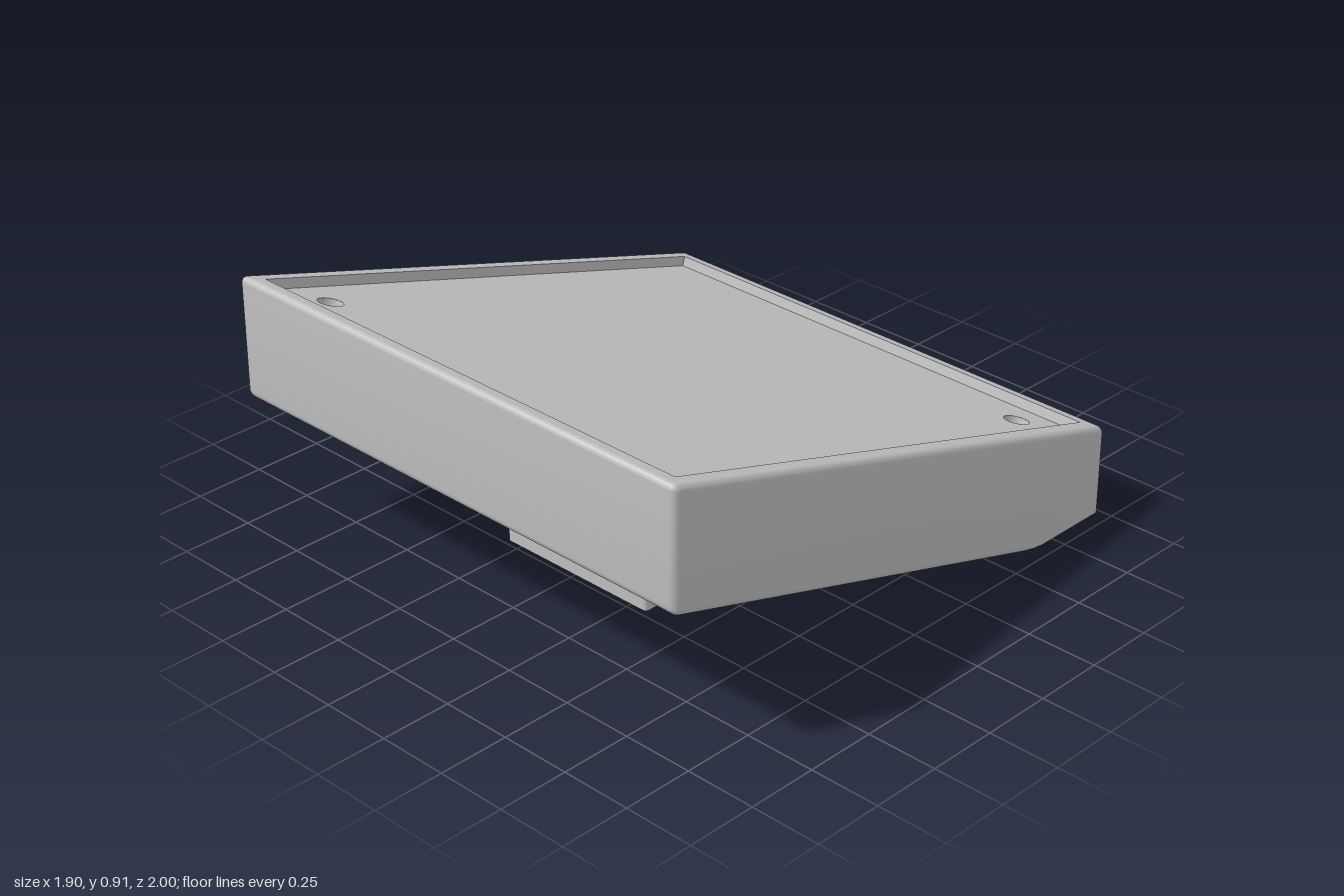
import * as THREE from 'three';
import { toCreasedNormals } from 'three/addons/utils/BufferGeometryUtils.js';

const SLOPE = 0.303, TILT = Math.atan(SLOPE);
const HX = 0.95, HZ = 1, R = 0.025, STEPS = 8;
const RIM = 0.06, DEPTH = 0.035;          // tray rim width and recess depth
const under = z => 0.19 + SLOPE * z;      // sloping underside
const over = z => 0.618 + SLOPE * z;      // sloping top

// Rounded rectangle in plan, mirrored in x; height(z) lifts every point
function ring(hx, hz, r, height, cz = 0) {
  const half = [];
  const arc = (z, from) => {
    for (let i = 0; i <= STEPS; i++) {
      const a = from + (i / STEPS) * Math.PI / 2;
      half.push([hx - r + r * Math.cos(a), z + r * Math.sin(a)]);
    }
  };
  arc(-hz + r, -Math.PI / 2);
  // extra points where the sloping underside meets the ground
  for (const z of [-0.693, -0.66, -0.627]) half.push([hx, Math.max(z - cz, -hz + r)]);
  arc(hz - r, 0);
  const all = [...half, ...half.map(([x, z]) => [-x, z]).reverse()];
  return all.map(([x, z]) => [x, height(z + cz), z + cz]);
}

// Skin over a stack of rings, closed underneath
function loft(rings) {
  const n = rings[0].length, index = [];
  for (let k = 0; k < rings.length - 1; k++) {
    for (let i = 0; i < n; i++) {
      const j = (i + 1) % n, a = k * n, b = a + n;
      index.push(a + i, b + i, b + j, a + i, b + j, a + j);
    }
  }
  for (let i = 0; i < n / 2 - 1; i++) {
    index.push(i, i + 1, n - 2 - i, i, n - 2 - i, n - 1 - i);
  }
  const g = new THREE.BufferGeometry();
  g.setAttribute('position', new THREE.Float32BufferAttribute(rings.flat(2), 3));
  g.setIndex(index);
  return toCreasedNormals(g, 0.28);
}

export function createModel() {
  const model = new THREE.Group();
  model.name = 'slopedStand';
  const grey = new THREE.MeshStandardMaterial({ color: 0xc0c0c0, side: THREE.DoubleSide });
  grey.name = 'light grey';
  const add = (parent, name, geometry) => {
    const mesh = new THREE.Mesh(geometry, grey);
    mesh.name = name;
    parent.add(mesh);
    return mesh;
  };

  // Body: rounded lower edge cut flat at the ground, rounded top edge, recess wall
  const rings = [];
  const inset = (d, height) => rings.push(ring(HX - d, HZ - d, Math.max(R - d, 0.001), height));
  for (let i = 0; i <= STEPS; i++) {
    const a = (i / STEPS) * Math.PI / 2;
    inset(R * (1 - Math.sin(a)), z => Math.max(0, under(z) + R * (1 - Math.cos(a))));
  }
  for (let i = 0; i <= STEPS; i++) {
    const a = (i / STEPS) * Math.PI / 2;
    inset(R * (1 - Math.cos(a)), z => over(z) - R * (1 - Math.sin(a)));
  }
  inset(RIM, over);
  const dy = DEPTH * Math.cos(TILT), dz = DEPTH * Math.sin(TILT);
  rings.push(rings[rings.length - 1].map(([x, y, z]) => [x, y - dy, z + dz]));
  add(model, 'body', loft(rings));

  // Recessed tray floor with two blind holes, in the tilted plane
  const tray = new THREE.Group();
  tray.name = 'tray';
  tray.position.set(0, over(0) - dy, dz);
  tray.rotation.x = -TILT;
  model.add(tray);
  const w = HX - RIM, l = (HZ - RIM) / Math.cos(TILT);
  const floor = new THREE.Shape([[-w, -l], [w, -l], [w, l], [-w, l]].map(p => new THREE.Vector2(...p)));
  const holeR = 0.043, holeDepth = 0.2;
  for (const [x, z] of [[0.74, -0.81], [-0.745, 0.795]]) {
    const lz = z / Math.cos(TILT);
    const hole = new THREE.Path();
    hole.absarc(x, -lz, holeR, 0, Math.PI * 2, true);
    floor.holes.push(hole);
    add(tray, 'holeWall', new THREE.CylinderGeometry(holeR, holeR, holeDepth, 24, 1, true))
      .position.set(x, -holeDepth / 2, lz);
    add(tray, 'holeBottom', new THREE.CircleGeometry(holeR, 24).rotateX(-Math.PI / 2))
      .position.set(x, -holeDepth, lz);
  }
  add(tray, 'trayFloor', new THREE.ShapeGeometry(floor, 24).rotateX(-Math.PI / 2));

  // Wedge foot running under the body
  const back = -0.62, front = 0.48;
  const footRing = height => ring(0.315, (front - back) / 2, 0.015, height, (front + back) / 2);
  add(model, 'foot', loft([footRing(() => 0), footRing(z => under(z) + 0.012)]));

  return model;
}
